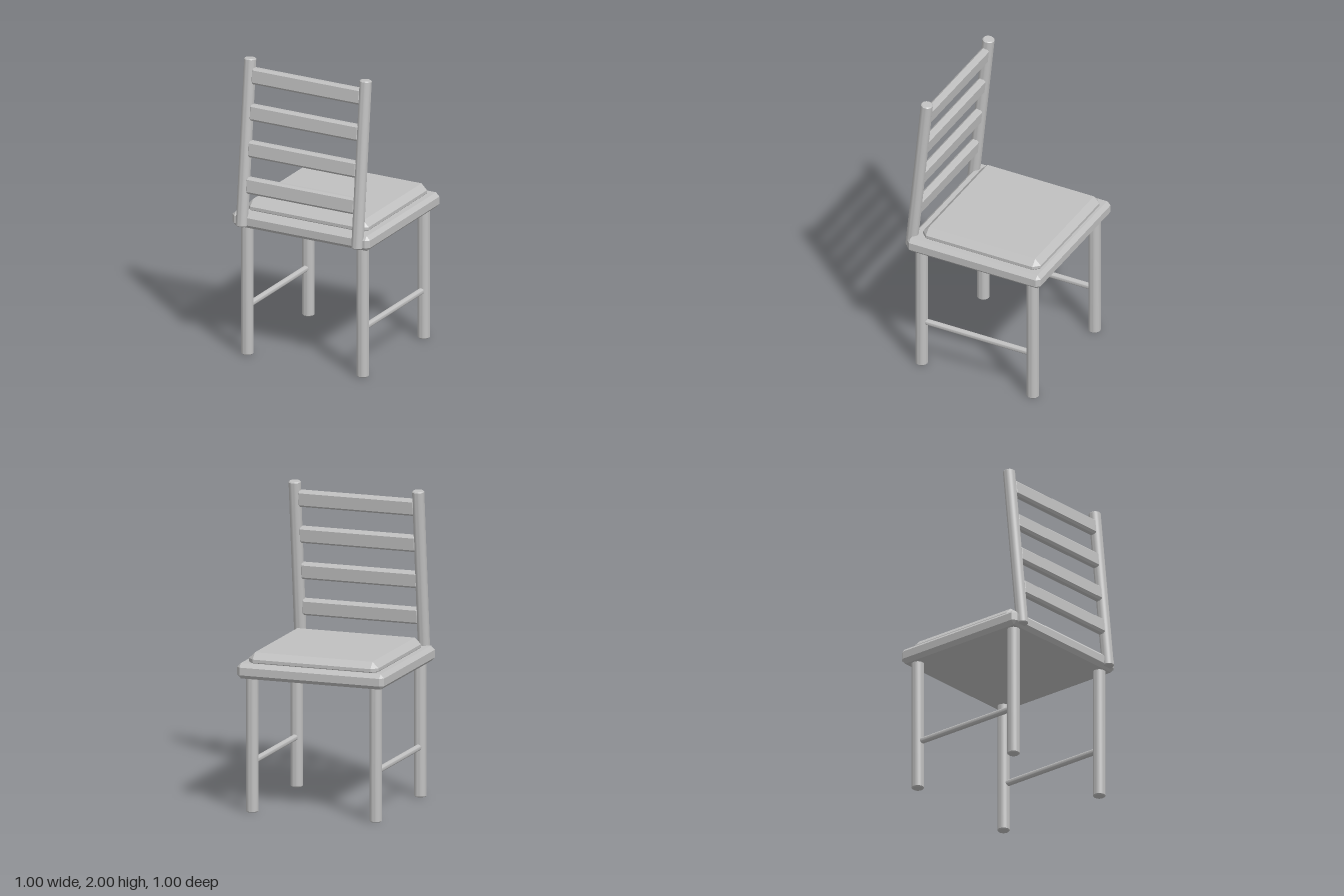
import * as THREE from 'three';
import { toCreasedNormals } from 'three/addons/utils/BufferGeometryUtils.js';
import { ConvexGeometry } from 'three/addons/geometries/ConvexGeometry.js';

const grey = new THREE.MeshStandardMaterial({ color: 0xc0c0c0 });
grey.name = 'plain grey';

// Box with every edge cut flat and a small triangle at each corner
function chamferBox(w, h, d, b) {
  const points = [];
  for (const sx of [-1, 1]) for (const sy of [-1, 1]) for (const sz of [-1, 1]) {
    for (let axis = 0; axis < 3; axis++) {
      const inset = [b, b, b];
      inset[axis] = 0;
      points.push(new THREE.Vector3(
        sx * (w / 2 - inset[0]), sy * (h / 2 - inset[1]), sz * (d / 2 - inset[2])));
    }
  }
  return new ConvexGeometry(points);
}

// Round bar standing on its origin, with slightly bevelled ends
function bar(r, h, b) {
  const profile = [[0, 0], [r - b, 0], [r, b], [r, h - b], [r - b, h], [0, h]]
    .map(([x, y]) => new THREE.Vector2(x, y));
  return toCreasedNormals(new THREE.LatheGeometry(profile, 32), 0.5);
}

function add(parent, name, geometry, x, y, z) {
  const mesh = new THREE.Mesh(geometry, grey);
  mesh.name = name;
  mesh.position.set(x, y, z);
  parent.add(mesh);
  return mesh;
}

export function createModel() {
  const chair = new THREE.Group();
  chair.name = 'chair';

  // Seat board and cushion
  add(chair, 'seat', chamferBox(1, 0.1, 0.96, 0.025), 0, 0.925, -0.02);
  add(chair, 'cushion', chamferBox(0.88, 0.1, 0.845, 0.04), 0, 0.99, -0.038);

  // Reclined backrest, pivoting at the foot of its posts
  const tilt = 0.1;
  const backrest = new THREE.Group();
  backrest.name = 'backrest';
  backrest.position.set(0, 0.89, 0.458);
  backrest.rotation.x = -tilt;
  chair.add(backrest);

  const legGeometry = bar(0.04, 0.9, 0.006);
  const stretcherGeometry = bar(0.02, 0.78, 0.002);
  const postGeometry = bar(0.039, 1.112, 0.006);
  for (const side of [-1, 1]) {
    const label = side > 0 ? 'left' : 'right';
    const x = side * 0.42;
    add(chair, label + 'BackLeg', legGeometry, x, 0, 0.385);
    add(chair, label + 'FrontLeg', legGeometry, x, 0, -0.415);
    add(chair, label + 'Stretcher', stretcherGeometry, x, 0.325, -0.405).rotation.x = Math.PI / 2;
    add(backrest, label + 'Post', postGeometry, x, 0, 0);
  }

  // Four evenly spaced slats between the posts
  const slatGeometry = chamferBox(0.8, 0.108, 0.055, 0.014);
  for (let i = 0; i < 4; i++) {
    const height = 1.165 + i * 0.24;
    add(backrest, 'slat' + (i + 1), slatGeometry, 0, (height - 0.89) / Math.cos(tilt), 0);
  }
  return chair;
}
